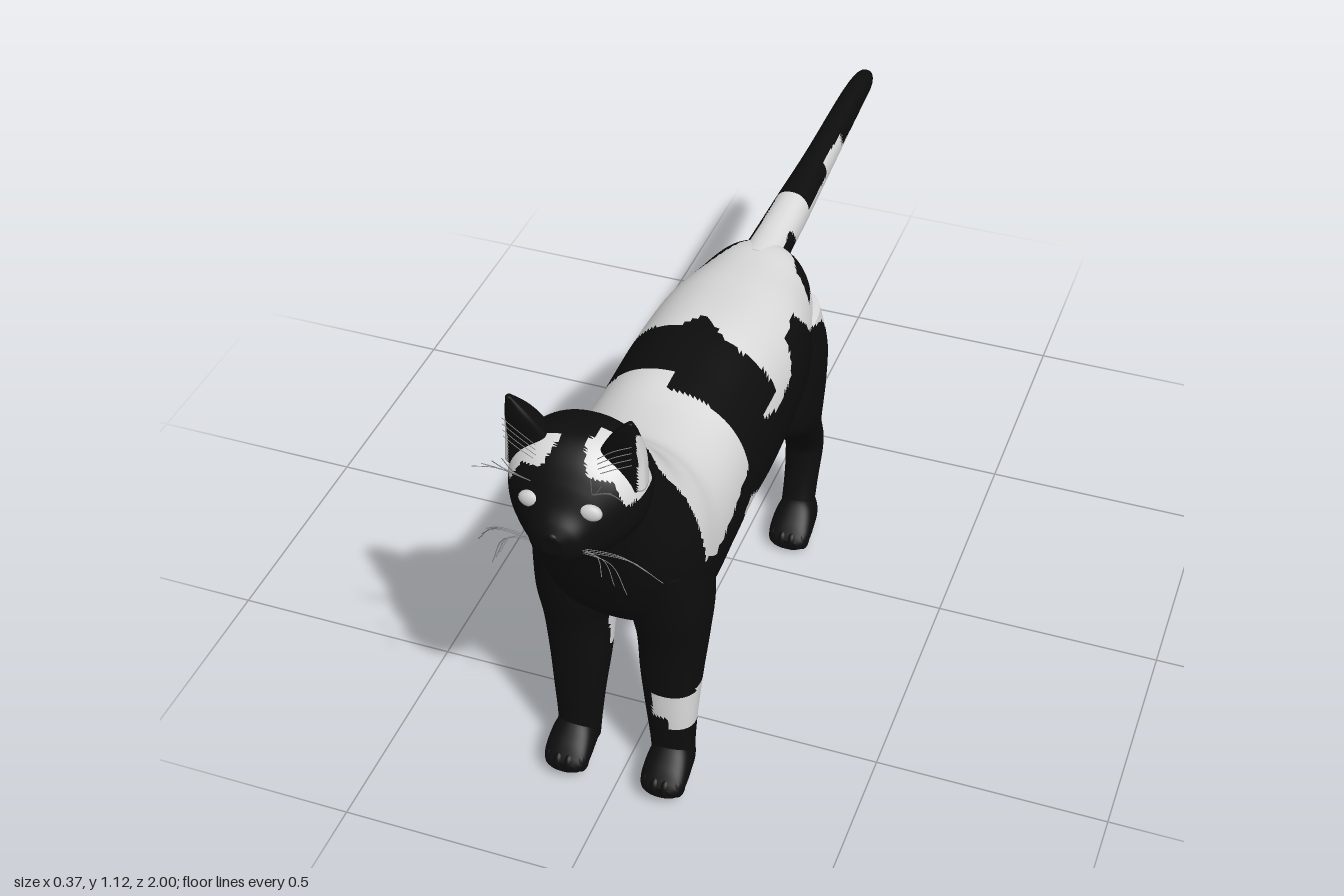
import * as THREE from 'three';

const black = new THREE.MeshStandardMaterial({ color: 0x0d0d0d });
black.name = 'black fur';
const white = new THREE.MeshStandardMaterial({ color: 0xdcdcdc });
white.name = 'white fur';
const pale = new THREE.MeshStandardMaterial({ color: 0xcfcfcf });
pale.name = 'eye';
const grey = new THREE.MeshStandardMaterial({ color: 0x8c8c8c });
grey.name = 'whisker';

// Point in polygon
function inside(poly, u, v) {
  let hit = false;
  for (let i = 0, j = poly.length - 1; i < poly.length; j = i++) {
    const [a, b] = poly[i], [c, d] = poly[j];
    if ((b > v) !== (d > v) && u < ((c - a) * (v - b)) / (d - b) + a) hit = !hit;
  }
  return hit;
}

// Smooth loft through sections [x, halfWidth, z1, y1, z2, y2]; (z1,y1) and (z2,y2) are opposite rim points.
// Faces whose centre passes isWhite go in the white group.
function loft(name, sections, isWhite = () => false, { mirror = 1, cols = 48, steps = 10, power = 2.2, flat = 1 } = {}) {
  const last = sections.length - 1, rows = [];
  for (let i = 0; i < last; i++) {
    for (let s = 0; s < steps + (i === last - 1 ? 1 : 0); s++) {
      const t = s / steps;
      rows.push(sections[i].map((p1, k) => {
        const p2 = sections[i + 1][k];
        const p0 = sections[Math.max(i - 1, 0)][k], p3 = sections[Math.min(i + 2, last)][k];
        return p1 + 0.5 * t * (p2 - p0 + t * (2 * p0 - 5 * p1 + 4 * p2 - p3 + t * (3 * (p1 - p2) + p3 - p0)));
      }));
    }
  }
  // Collapsed rings close both ends
  const ends = [rows[0], rows[rows.length - 1]].map(([x, , z1, y1, z2, y2]) =>
    [x, 0, (z1 + z2) / 2, (y1 + y2) / 2, (z1 + z2) / 2, (y1 + y2) / 2]);
  rows.unshift(ends[0]);
  rows.push(ends[1]);
  const pos = [];
  const round = (v) => Math.sign(v) * Math.abs(v) ** (2 / power);
  for (const [x, w, z1, y1, z2, y2] of rows) {
    for (let j = 0; j < cols; j++) {
      const a = (j / cols) * Math.PI * 2;
      const c = round(Math.cos(a));
      let s = round(Math.sin(a));
      if (s < 0) s *= flat;
      pos.push(x * mirror + w * c, (y1 + y2) / 2 + (s * (y1 - y2)) / 2, (z1 + z2) / 2 + (s * (z1 - z2)) / 2);
    }
  }
  const dark = [], light = [];
  const mean = (t, k) => (pos[t[0] * 3 + k] + pos[t[1] * 3 + k] + pos[t[2] * 3 + k]) / 3;
  for (let i = 0; i < rows.length - 1; i++) {
    for (let j = 0; j < cols; j++) {
      const a = i * cols + j, b = i * cols + ((j + 1) % cols), c = a + cols, d = b + cols;
      for (const t of [[a, b, c], [b, d, c]]) {
        (isWhite(mean(t, 0), mean(t, 1), mean(t, 2)) ? light : dark).push(...t);
      }
    }
  }
  const g = new THREE.BufferGeometry();
  g.setAttribute('position', new THREE.Float32BufferAttribute(pos, 3));
  g.setIndex([...dark, ...light]);
  g.addGroup(0, dark.length, 0);
  g.addGroup(dark.length, light.length, 1);
  g.computeVertexNormals();
  const mesh = new THREE.Mesh(g, [black, white]);
  mesh.name = name;
  return mesh;
}

// Coat patches as side outlines (z, y) on each flank
const leftWhite = [
  [[.755, 1.08], [.74, .9], [.70, .81], [.675, .635], [.62, .61], [.54, .625], [.46, .65], [.41, .66], [.4, .95]],
  [[.27, .95], [.29, .69], [.22, .665], [.12, .675], [.08, .74], [0, .745], [-.05, .67], [-.14, .635], [-.19, .57], [-.26, .6], [-.3, .95]],
  [[.44, .56], [.40, .575], [.33, .53], [.31, .475], [.35, .475], [.42, .525]],
];
const rightWhite = [
  [[.75, 1.08], [.74, .9], [.72, .8], [.66, .62], [.6, .66], [.5, .69], [.42, .64], [.36, .68], [.34, .95]],
  [[.2, .95], [.2, .72], [.1, .67], [0, .69], [-.08, .75], [-.16, .765], [-.3, .77], [-.3, .95]],
  [[.02, .65], [-.08, .69], [-.2, .67], [-.25, .62], [-.18, .55], [-.05, .57], [0, .61]],
  [[.52, .55], [.47, .58], [.43, .49], [.47, .46]],
];
const rumpPatch = [[-.12, .69], [-.15, .745], [-.28, .757], [-.3, .715], [-.2, .685]];
// Saddle stripe and nape patch seen from above (x, z)
const saddle = [[0, .16], [.06, .22], [.1, .225], [.2, .2], [.2, .4], [.1, .37], [.05, .3], [0, .3], [-.05, .3], [-.1, .33], [-.2, .35], [-.2, .2], [-.06, .22]];
const nape = [[-.14, .73], [-.03, .7], [.02, .67], [.01, .72], [.14, .745], [.14, .8], [-.14, .8]];

function coat(x, y, z) {
  if (y > .7 && inside(saddle, x, z)) return false;
  if (y > .85 && inside(nape, x, z)) return false;
  if (x > .03 && inside(rumpPatch, z, y)) return false;
  return (x > 0 ? leftWhite : rightWhite).some((p) => inside(p, z, y));
}

function tailCoat(x, y, z) {
  if (z < -.8) return false;
  if (z > -.4) return !(x > .02 && inside(rumpPatch, z, y)) && (x > -.03 || z > -.2);
  if (x < 0) return z > -.62 && z < -.48 && y < .73;
  return z > -.55 ? y < .735 : y < .765 - (z < -.68 ? .03 : 0);
}

const brow = [[.025, 1.04], [.045, 1.0], [.09, .99], [.115, .94], [.15, .95], [.15, 1.06]];
function headCoat(x, y, z) {
  if (z > .82) return inside(brow, Math.abs(x), y) && (x > 0 || y < 1.02 || z > .86);
  return x < 0 && z > .76 && y > .9 && y < .99;
}

function createModel() {
  const cat = new THREE.Group();
  cat.name = 'cat';

  // Torso and neck, from rump to nape
  cat.add(loft('body', [
    [0, .03, -.24, .73, -.242, .64], [0, .105, -.2, .77, -.222, .52], [0, .152, -.1, .785, -.1, .43],
    [0, .175, .01, .80, .03, .43], [0, .18, .19, .82, .2, .395], [0, .18, .35, .813, .35, .405],
    [0, .185, .46, .81, .48, .41], [0, .186, .57, .83, .63, .40], [0, .181, .62, .855, .74, .49],
    [0, .163, .66, .887, .788, .59], [0, .132, .71, .957, .812, .67], [0, .108, .75, 1.005, .832, .75],
    [0, .1, .785, 1.03, .845, .83],
  ], coat, { cols: 112, steps: 12, power: 2.3 }));

  cat.add(loft('tail', [
    [0, .008, -1, .752, -1, .74], [0, .022, -.96, .775, -.96, .72], [0, .028, -.85, .785, -.85, .715],
    [0, .034, -.6, .778, -.6, .69], [0, .042, -.4, .775, -.4, .68], [0, .046, -.25, .775, -.25, .675],
    [0, .05, -.15, .78, -.15, .66],
  ], tailCoat, { steps: 14 }));

  cat.add(loft('head', [
    [0, .06, .745, 1.0, .745, .85], [0, .11, .77, 1.03, .77, .825], [0, .132, .81, 1.043, .81, .808],
    [0, .135, .86, 1.042, .86, .803], [0, .119, .90, 1.02, .90, .808], [0, .092, .93, .985, .93, .815],
    [0, .064, .955, .945, .955, .825], [0, .046, .975, .922, .975, .837], [0, .02, .988, .903, .988, .865],
  ], headCoat, { cols: 80, steps: 10 }));

  const ball = new THREE.SphereGeometry(1, 20, 14);
  const addBall = (name, mat, p, s) => {
    const m = new THREE.Mesh(ball, mat);
    m.name = name;
    m.position.set(...p);
    m.scale.set(...s);
    cat.add(m);
  };
  addBall('nose', black, [0, .9, .982], [.014, .01, .008]);

  const hair = (name, pts) => {
    const curve = new THREE.CatmullRomCurve3(pts.map((p) => new THREE.Vector3(...p)));
    const m = new THREE.Mesh(new THREE.TubeGeometry(curve, 10, .0009, 4), grey);
    m.name = name;
    cat.add(m);
  };

  for (const m of [1, -1]) {
    const side = m > 0 ? 'left' : 'right';
    const opt = { mirror: m };

    // Ears: hollow side faces forward
    cat.add(loft(side + 'Ear', [
      [.088, .05, .805, .96, .925, .96], [.092, .044, .812, 1.02, .912, 1.02],
      [.103, .026, .838, 1.075, .908, 1.075], [.117, .005, .872, 1.118, .888, 1.118],
    ], (x, y, z) => (m > 0 ? z < .852 || x > .127 : x < -.127), { mirror: m, flat: .35, cols: 40 }));

    addBall(side + 'Eye', pale, [m * .058, .94, .938], [.024, .018, .013]);

    // Front leg
    cat.add(loft(side + 'FrontLeg', [
      [.108, .068, .77, .64, .54, .64], [.102, .082, .748, .5, .55, .5], [.102, .073, .726, .4, .568, .4],
      [.1, .065, .718, .3, .595, .3], [.102, .055, .714, .2, .62, .2], [.104, .048, .71, .12, .632, .12],
      [.106, .045, .71, .06, .64, .06],
    ], (x, y, z) => (m > 0
      ? x > .075 && y > .175 + .03 * (x < .11) && y < .28 - .01 * (z > .68)
      : y > .32 && y < .5 && z < .68 - (.5 - y) * .12), opt));

    // Hind leg
    cat.add(loft(side + 'HindLeg', [
      [.1, .055, .0, .66, -.2, .66], [.104, .07, .01, .56, -.218, .56], [.104, .071, .012, .47, -.212, .47],
      [.104, .066, -.005, .4, -.203, .4], [.105, .055, -.075, .335, -.204, .335], [.105, .045, -.15, .25, -.245, .25],
      [.105, .042, -.157, .2, -.25, .2], [.105, .039, -.146, .13, -.22, .13], [.105, .038, -.12, .05, -.19, .05],
    ], (x, y, z) => coat(x, y, z) || (m < 0 && x > -.1 && y > .27 && y < .36 && z < -.12), opt));

    // Paws with toes
    for (const [name, dz, dy] of [['FrontPaw', 0, .02], ['HindPaw', -.835, 0]]) {
      cat.add(loft(side + name, [
        [.635, .03, .085, .02], [.66, .042, .1, 0], [.70, .048, .098, 0],
        [.74, .049, .07, 0], [.762, .042, .048, .003], [.772, .028, .035, .01],
      ].map(([z, w, top, bottom]) => [.108, w, z + dz, top + dy, z + dz, bottom + dy]), undefined, opt));
      for (let i = 0; i < 4; i++) {
        const u = (i - 1.5) / 1.5;
        addBall(side + name + 'Toe', black, [m * .108 + u * .034, .026 + dy, .757 - u * u * .012 + dz], [.014, .025, .02]);
      }
    }

    // Whiskers, brow hairs and ear hairs
    for (let i = 0; i < 6; i++) {
      const reach = .1 + .017 * i, drop = .02 + .016 * ((i * 2) % 6);
      hair(side + 'Whisker', [
        [m * .035, .872 - .004 * (i % 3), .965], [m * (.03 + reach * .55), .876 - drop * .3, .975 - .006 * i],
        [m * reach, .865 - drop, .995 - .017 * i],
      ]);
    }
    for (let i = 0; i < 4; i++) {
      hair(side + 'BrowHair', [[m * .06, .975, .93], [m * (.075 + .012 * i), 1.02, .965], [m * (.085 + .02 * i), 1.07 - .012 * i, .99]]);
      hair(side + 'EarHair', [[m * .06, 1.0 + .012 * i, .9], [m * .095, 1.025 + .014 * i, .905], [m * .125, 1.035 + .014 * i, .895]]);
    }
  }
  return cat;
}

export { createModel };
